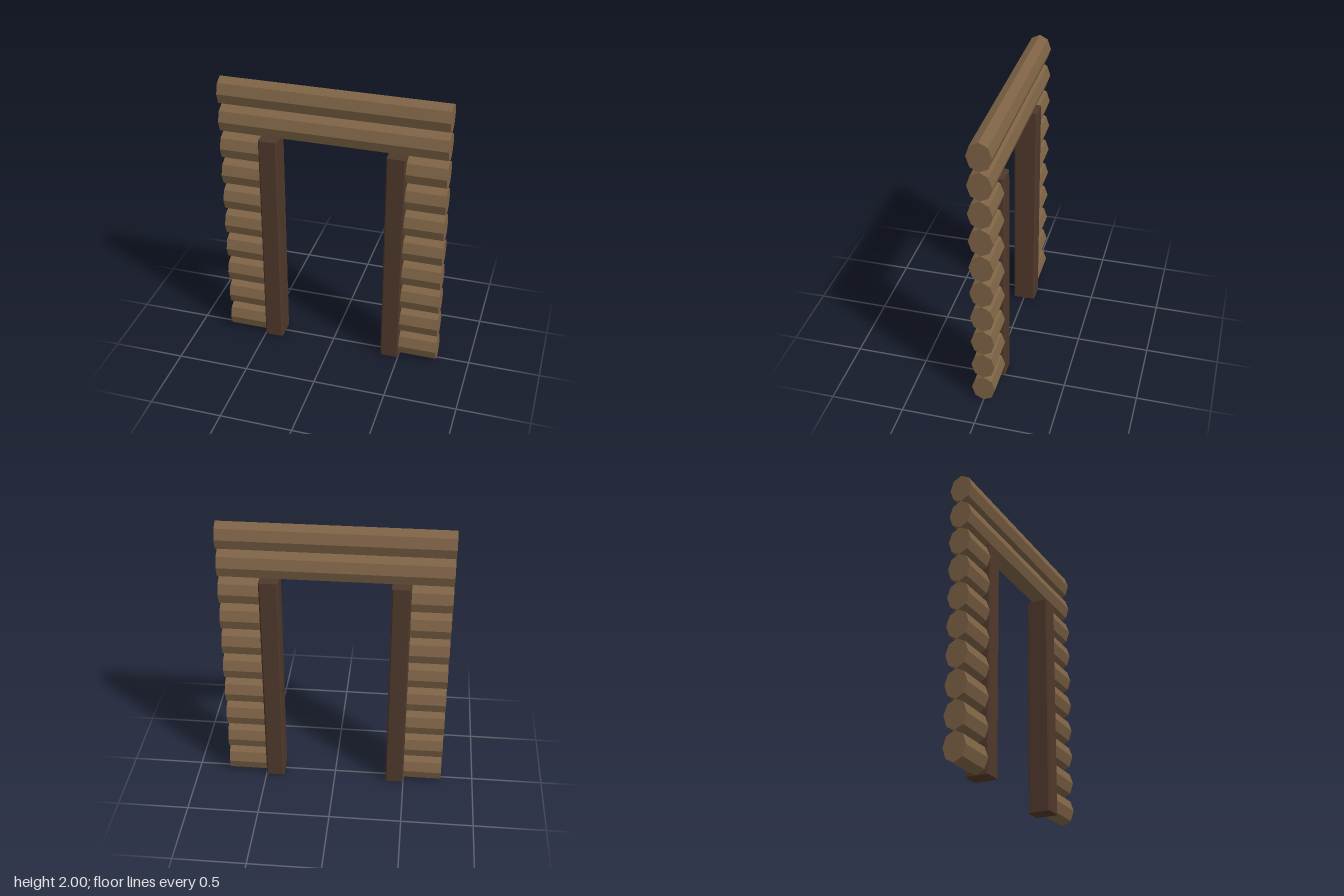
import * as THREE from 'three';

const logMaterial = new THREE.MeshStandardMaterial({ color: 0x7d6245, flatShading: true });
const postMaterial = new THREE.MeshStandardMaterial({ color: 0x4f382b, flatShading: true });

const LOG_HEIGHT = 0.2;
const HALF_DEPTH = 0.08;
const HALF_WIDTH = 0.77;
const POST_HEIGHT = 1.6;
const POST_INNER = 0.37;
const POST_OUTER = 0.5;

// Eight-sided log lying along x, a corner at the top, narrower in z
function makeLog(name, x0, x1, y) {
  const geometry = new THREE.CylinderGeometry(LOG_HEIGHT / 2, LOG_HEIGHT / 2, x1 - x0, 8);
  geometry.rotateZ(Math.PI / 2);
  geometry.scale(1, 1, HALF_DEPTH / (LOG_HEIGHT / 2));
  const log = new THREE.Mesh(geometry, logMaterial);
  log.name = name;
  log.position.set((x0 + x1) / 2, y, 0);
  return log;
}

// Upright post with lightly chamfered corners
function makePost(name, x) {
  const w = (POST_OUTER - POST_INNER) / 2, d = HALF_DEPTH, c = 0.01;
  const section = new THREE.Shape([
    [w - c, -d], [w, c - d], [w, d - c], [w - c, d],
    [c - w, d], [-w, d - c], [-w, c - d], [c - w, -d],
  ].map(([px, py]) => new THREE.Vector2(px, py)));
  const geometry = new THREE.ExtrudeGeometry(section, { depth: POST_HEIGHT, bevelEnabled: false });
  geometry.rotateX(-Math.PI / 2);
  const post = new THREE.Mesh(geometry, postMaterial);
  post.name = name;
  post.position.x = x;
  return post;
}

export function createModel() {
  const model = new THREE.Group();
  model.name = 'logDoorway';

  // Short wall logs and a door post on each side
  for (const [side, s] of [['left', 1], ['right', -1]]) {
    const wall = new THREE.Group();
    wall.name = side + 'Wall';
    for (let i = 0; i < 8; i++) {
      const ends = [s * POST_OUTER, s * HALF_WIDTH].sort((a, b) => a - b);
      wall.add(makeLog('wallLog', ends[0], ends[1], (i + 0.5) * LOG_HEIGHT));
    }
    wall.add(makePost(side + 'DoorPost', s * (POST_INNER + POST_OUTER) / 2));
    model.add(wall);
  }

  // Two full-length lintel logs
  for (let i = 0; i < 2; i++) {
    model.add(makeLog('lintelLog', -HALF_WIDTH, HALF_WIDTH, POST_HEIGHT + (i + 0.5) * LOG_HEIGHT));
  }
  return model;
}
